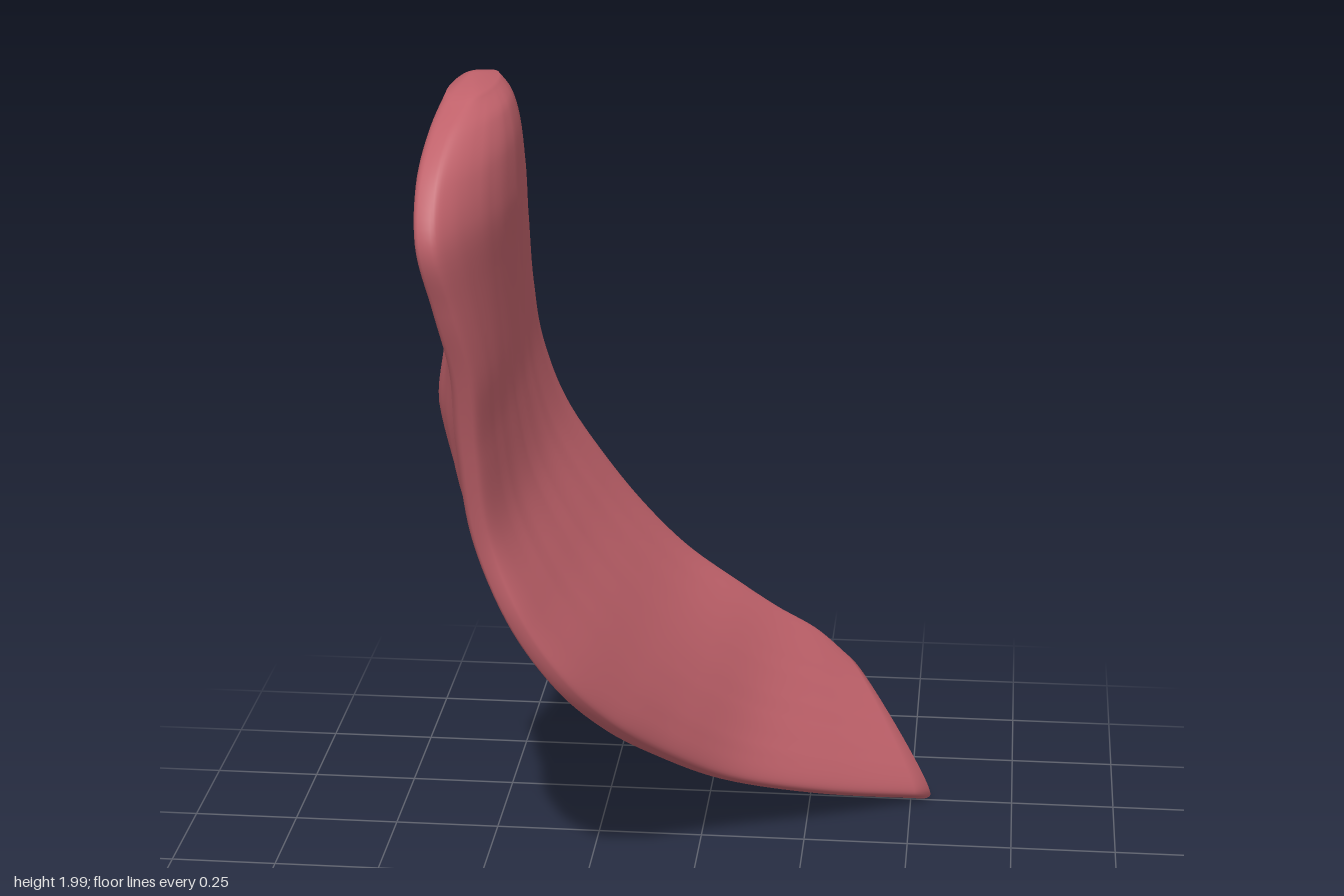
import * as THREE from 'three';

const V = (x, y, z) => new THREE.Vector3(x, y, z);

// Stations from the lower tip to the rounded top:
// front edge xyz, back edge xyz, inner and outer thickness
const stations = [
  [0.54, 0.012, -0.495, 0.325, 0.35, -0.575, 0.04, 0.045],
  [0.29, 0.095, -0.325, 0.25, 0.43, -0.55, 0.045, 0.06],
  [0.07, 0.2, -0.16, 0.15, 0.51, -0.50, 0.046, 0.065],
  [-0.07, 0.335, 0.01, 0.05, 0.595, -0.455, 0.048, 0.07],
  [-0.175, 0.475, 0.17, -0.06, 0.69, -0.415, 0.048, 0.075],
  [-0.265, 0.62, 0.285, -0.16, 0.81, -0.37, 0.048, 0.085],
  [-0.355, 0.785, 0.335, -0.25, 0.95, -0.32, 0.046, 0.095],
  [-0.425, 0.98, 0.345, -0.335, 1.12, -0.255, 0.043, 0.115],
  [-0.44, 1.19, 0.395, -0.38, 1.29, -0.19, 0.043, 0.125],
  [-0.44, 1.39, 0.465, -0.395, 1.45, -0.125, 0.05, 0.09],
  [-0.465, 1.56, 0.535, -0.395, 1.62, -0.06, 0.07, 0.055],
  [-0.49, 1.71, 0.582, -0.395, 1.78, 0.01, 0.095, 0.055],
  [-0.495, 1.82, 0.525, -0.40, 1.89, 0.065, 0.1, 0.06],
  [-0.48, 1.91, 0.425, -0.41, 1.95, 0.11, 0.085, 0.055],
  [-0.455, 1.97, 0.32, -0.43, 1.985, 0.14, 0.05, 0.045],
];

function createStrip() {
  const rings = 90, sides = 80;
  const curve = (f) => new THREE.CatmullRomCurve3(stations.map(f));
  const front = curve((s) => V(s[0], s[1], s[2]));
  const back = curve((s) => V(s[3], s[4], s[5]));
  const bulge = curve((s) => V(s[6], s[7], 0));
  const middle = (t) => front.getPoint(t).lerp(back.getPoint(t), 0.5);
  const pos = [], index = [];

  for (let j = 0; j <= rings; j++) {
    const t = j / rings;
    const f = front.getPoint(t), b = back.getPoint(t), m = bulge.getPoint(t);
    const along = middle(Math.min(1, t + 0.06)).sub(middle(Math.max(0, t - 0.06)));
    const n = b.clone().sub(f).cross(along).normalize();
    for (let k = 0; k < sides; k++) {
      const a = (k / sides) * Math.PI * 2;
      const u = Math.cos(a), s = Math.sin(a), sign = Math.sign(s);
      const side = s >= 0 ? m.x : m.y;
      const rim = Math.min(0.048, side);
      // blunt rim, a belly (ridged towards the front outside) and shallow fibres
      const belly = s >= 0
        ? Math.pow(1 - u * u, 1.3)
        : Math.exp(-Math.pow((u - 0.2) / 0.45, 2)) * Math.abs(s);
      let h = rim * Math.pow(Math.abs(s), 0.5) + (side - rim) * belly;
      const fibre = Math.sin(u * 21 + t * 5) + 0.6 * Math.sin(u * 34 - t * 9);
      h += fibre * s * s * (s < 0 ? 0.004 : 0.0015) * Math.sin(Math.PI * t);
      const p = f.clone().lerp(b, (1 - u) / 2).addScaledVector(n, sign * h);
      pos.push(p.x, p.y, p.z);
    }
  }

  for (let j = 0; j < rings; j++) {
    for (let k = 0; k < sides; k++) {
      const a = j * sides + k, b = j * sides + (k + 1) % sides;
      index.push(a, b, a + sides, b, b + sides, a + sides);
    }
  }

  // Close both ends with a slightly domed cap
  const tip = middle(0).add(V(0.025, -0.01, -0.02));
  const top = middle(1).add(V(0, 0.022, 0));
  const c = (rings + 1) * sides;
  pos.push(tip.x, tip.y, tip.z, top.x, top.y, top.z);
  for (let k = 0; k < sides; k++) {
    const k2 = (k + 1) % sides, r = rings * sides;
    index.push(c, k2, k, c + 1, r + k, r + k2);
  }

  const g = new THREE.BufferGeometry();
  g.setAttribute('position', new THREE.Float32BufferAttribute(pos, 3));
  g.setIndex(index);
  g.computeVertexNormals();
  return g;
}

export function createModel() {
  const group = new THREE.Group();
  group.name = 'muscle';
  const red = new THREE.MeshStandardMaterial({ color: 0xbf616a });
  red.name = 'muscleRed';
  const strip = new THREE.Mesh(createStrip(), red);
  strip.name = 'muscleStrip';
  group.add(strip);
  return group;
}
